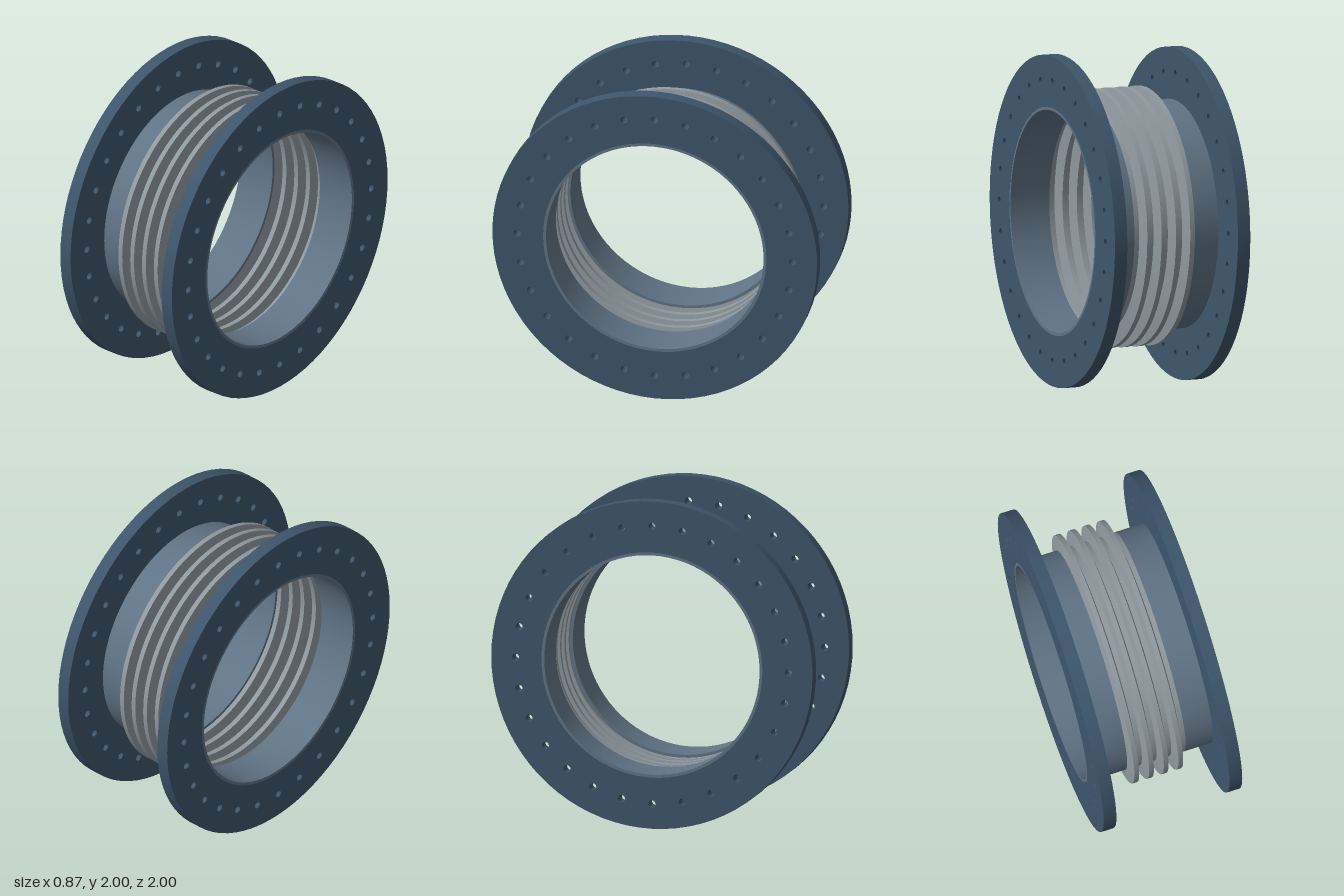
import * as THREE from 'three';
import { toCreasedNormals } from 'three/addons/utils/BufferGeometryUtils.js';

const SEGMENTS = 80;
const HALF = 0.437;        // half of the overall width
const FLANGE_T = 0.08;
const BORE = 0.688;        // pipe outer radius and flange bore
const BELLOWS_HALF = 0.185;

const material = (color, side = THREE.FrontSide) => new THREE.MeshStandardMaterial({ color, side });

function circlePoints(radius, count, cx = 0, cy = 0) {
  return Array.from({ length: count }, (_, i) => {
    const a = (i / count) * Math.PI * 2;
    return new THREE.Vector2(cx + radius * Math.cos(a), cy + radius * Math.sin(a));
  });
}

// Revolve [x, radius] pairs about the x axis
function revolve(profile) {
  const points = profile.map(([x, r]) => new THREE.Vector2(r, x));
  const geometry = new THREE.LatheGeometry(points, SEGMENTS);
  geometry.rotateZ(-Math.PI / 2);
  return toCreasedNormals(geometry, 0.35);
}

// Flat ring with a circle of through bolt holes
function flangeGeometry() {
  const shape = new THREE.Shape(circlePoints(1, SEGMENTS));
  shape.holes.push(new THREE.Path(circlePoints(BORE, SEGMENTS)));
  const bolts = 28;
  for (let i = 0; i < bolts; i++) {
    const a = (i / bolts) * Math.PI * 2;
    shape.holes.push(new THREE.Path(
      circlePoints(0.022, 16, 0.848 * Math.cos(a), 0.848 * Math.sin(a))));
  }
  const geometry = new THREE.ExtrudeGeometry(shape, { depth: FLANGE_T, bevelEnabled: false });
  geometry.translate(0, 0, -FLANGE_T / 2);
  geometry.rotateY(Math.PI / 2);
  return toCreasedNormals(geometry, 0.5);
}

// Thin corrugated wall: four trapezoid ridges, each followed by a flat root
function bellowsGeometry() {
  const ridges = 4;
  const pitch = (2 * BELLOWS_HALF) / ridges;
  const profile = [];
  for (let i = 0; i < ridges; i++) {
    const x = -BELLOWS_HALF + i * pitch;
    profile.push([x, BORE], [x + 0.016, 0.779], [x + 0.046, 0.779], [x + 0.062, BORE]);
  }
  profile.push([BELLOWS_HALF, BORE]);
  return revolve(profile);
}

export function createModel() {
  const group = new THREE.Group();
  const add = (name, geometry, mat, x = 0) => {
    const mesh = new THREE.Mesh(geometry, mat);
    mesh.name = name;
    mesh.position.set(x, 1, 0);
    group.add(mesh);
  };

  const flange = flangeGeometry();
  const flangeMat = material(0x3d566b);
  const pipeMat = material(0x5f7485, THREE.DoubleSide);

  // Closed pipe wall, centred on its own length
  const pipeLength = HALF - 0.001 - BELLOWS_HALF;
  const h = pipeLength / 2;
  const pipe = revolve([[-h, 0.67], [-h, BORE], [h, BORE], [h, 0.67], [-h, 0.67]]);

  for (const [side, s] of [['left', 1], ['right', -1]]) {
    add(`${side}Flange`, flange, flangeMat, s * (HALF - FLANGE_T / 2));
    add(`${side}Pipe`, pipe, pipeMat, s * (BELLOWS_HALF + h));
  }
  add('bellows', bellowsGeometry(), material(0x8f9aa0, THREE.DoubleSide));
  return group;
}
